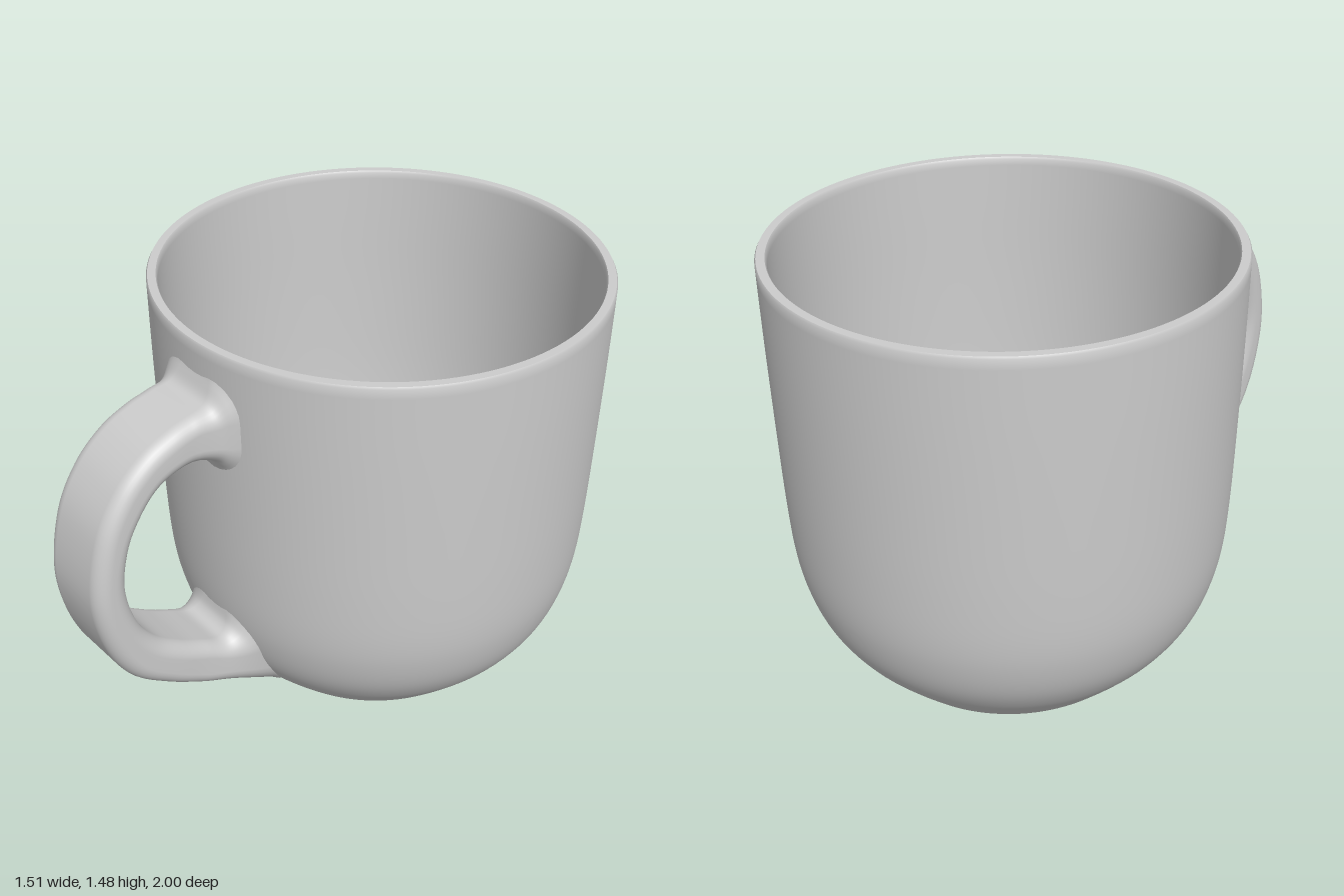
import * as THREE from 'three';
import { toCreasedNormals } from 'three/addons/utils/BufferGeometryUtils.js';

const BODY_Z = -0.247;
const BODY_R = 0.753;
const material = new THREE.MeshStandardMaterial({ color: 0xcccccc });

const spline = (points, n) =>
  new THREE.SplineCurve(points.map(([x, y]) => new THREE.Vector2(x, y))).getPoints(n);

// Cup wall: outside going up, flat rim, inside going down to the floor
function bodyGeometry() {
  const outer = spline([
    [0.485, 0], [0.555, 0.075], [0.622, 0.155], [0.675, 0.245], [0.71, 0.35],
    [0.73, 0.47], [0.74, 0.65], [0.746, 0.9], [0.751, 1.2], [BODY_R, 1.468],
  ], 48);
  const inner = spline([
    [0.718, 1.468], [0.715, 1.3], [0.71, 1], [0.7, 0.7], [0.685, 0.5], [0.665, 0.39],
    [0.63, 0.29], [0.58, 0.2], [0.5, 0.115], [0.4, 0.068], [0.25, 0.06],
  ], 48);
  const profile = [
    new THREE.Vector2(0, 0), ...outer,
    new THREE.Vector2(0.749, 1.475), new THREE.Vector2(0.722, 1.475),
    ...inner, new THREE.Vector2(0, 0.06),
  ];
  return toCreasedNormals(new THREE.LatheGeometry(profile, 128), 0.6);
}

// Handle: rounded-rectangle sections between an outer and an inner edge line
function handleGeometry() {
  // outer z, outer y, inner z, inner y, half width
  const sections = [
    [0.49, 1.42, 0.49, 1.02, 0.21],
    [0.51, 1.36, 0.508, 1.07, 0.172],
    [0.54, 1.312, 0.535, 1.11, 0.15],
    [0.6, 1.298, 0.6, 1.14, 0.14],
    [0.68, 1.28, 0.67, 1.138, 0.14],
    [0.78, 1.237, 0.745, 1.108, 0.14],
    [0.88, 1.15, 0.808, 1.04, 0.14],
    [0.96, 1.01, 0.86, 0.94, 0.14],
    [1, 0.8, 0.882, 0.8, 0.14],
    [0.968, 0.6, 0.85, 0.65, 0.14],
    [0.89, 0.445, 0.785, 0.545, 0.14],
    [0.76, 0.335, 0.69, 0.47, 0.14],
    [0.63, 0.255, 0.6, 0.418, 0.14],
    [0.52, 0.2, 0.535, 0.389, 0.148],
    [0.42, 0.142, 0.495, 0.41, 0.17],
    [0.335, 0.09, 0.477, 0.47, 0.2],
  ];
  const outer = new THREE.CatmullRomCurve3(
    sections.map(([z, y, , , w]) => new THREE.Vector3(w, y, z)), false, 'catmullrom');
  const inner = new THREE.CatmullRomCurve3(
    sections.map(([, , z, y, w]) => new THREE.Vector3(w, y, z)), false, 'catmullrom');

  const steps = 120, perCorner = 8, ring = perCorner * 4;
  const positions = [], index = [];
  for (let i = 0; i <= steps; i++) {
    const t = i / steps;
    const o = outer.getPoint(t), n = inner.getPoint(t);
    const mid = o.clone().add(n).multiplyScalar(0.5);
    const dir = o.clone().sub(n);
    const half = dir.length() / 2;
    dir.set(0, dir.y, dir.z).normalize();
    const w = o.x;
    // the ends flare out, get rounder and wrap around the cup
    const flare = THREE.MathUtils.clamp((w - 0.14) / 0.05, 0, 1);
    const r = Math.min(half * 0.9, 0.05 + 0.08 * flare);
    for (let c = 0; c < 4; c++) {
      const sx = c === 0 || c === 3 ? 1 : -1, sy = c < 2 ? 1 : -1;
      for (let k = 0; k < perCorner; k++) {
        const a = (c + k / (perCorner - 1)) * Math.PI / 2;
        const x = sx * (w - r) + r * Math.cos(a);
        const v = sy * (half - r) + r * Math.sin(a);
        const wrap = flare * (BODY_R - Math.sqrt(BODY_R ** 2 - x * x));
        positions.push(x, mid.y + dir.y * v, mid.z + dir.z * v - wrap);
      }
    }
  }
  for (let i = 0; i < steps; i++) {
    for (let j = 0; j < ring; j++) {
      const a = i * ring + j, b = i * ring + (j + 1) % ring;
      index.push(a, b, a + ring, b, b + ring, a + ring);
    }
  }
  const geometry = new THREE.BufferGeometry();
  geometry.setAttribute('position', new THREE.Float32BufferAttribute(positions, 3));
  geometry.setIndex(index);
  geometry.computeVertexNormals();
  return geometry;
}

export function createModel() {
  const mug = new THREE.Group();
  mug.name = 'mug';

  const body = new THREE.Mesh(bodyGeometry(), material);
  body.name = 'body';
  body.position.z = BODY_Z;

  const handle = new THREE.Mesh(handleGeometry(), material);
  handle.name = 'handle';

  mug.add(body, handle);
  return mug;
}
